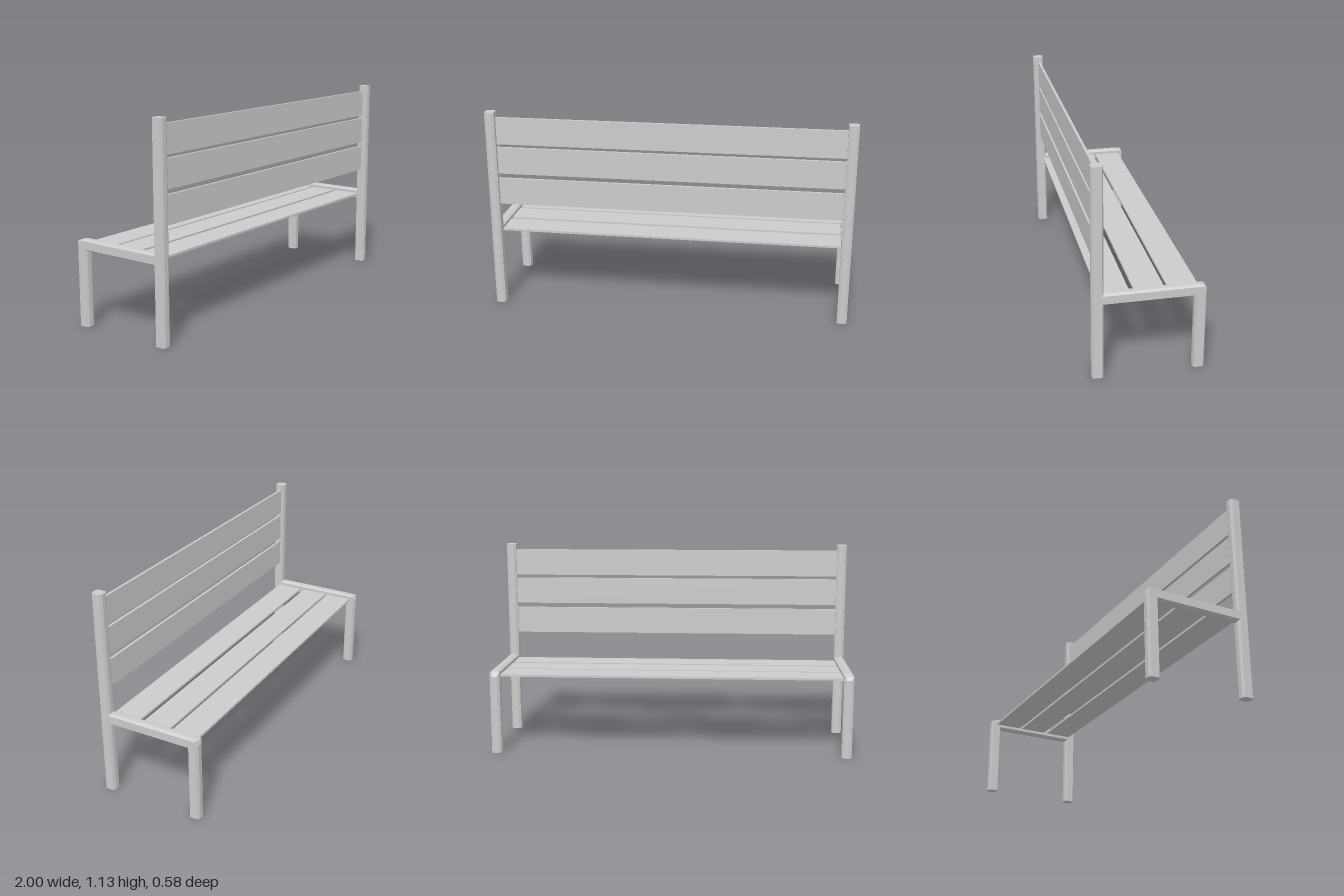
import * as THREE from 'three';

const material = new THREE.MeshStandardMaterial({ color: 0xcccccc, flatShading: true });

// Eight-sided bar section as [sideways x, outward n]
const SECTION = [
  [0.027, -0.0215], [0.027, 0.0215], [0.013, 0.03], [-0.013, 0.03],
  [-0.027, 0.0215], [-0.027, -0.0215], [-0.013, -0.03], [0.013, -0.03],
];
const POST_X = 0.973;
const BACK_Z = 0.26;   // centre of the backrest posts
const LEG_Z = -0.259;  // centre of the short legs
const SEAT_Y = 0.437;  // centre of the seat rails

// Skin a list of section rings and close both ends
function loft(rings) {
  const count = SECTION.length;
  const index = [];
  const last = (rings.length - 1) * count;
  for (let r = 0; r < rings.length - 1; r++) {
    for (let i = 0; i < count; i++) {
      const a = r * count + i, b = r * count + (i + 1) % count;
      index.push(a, b, b + count, a, b + count, a + count);
    }
  }
  for (let i = 1; i < count - 1; i++) {
    index.push(0, i + 1, i, last, last + i, last + i + 1);
  }
  const geometry = new THREE.BufferGeometry();
  geometry.setAttribute('position', new THREE.Float32BufferAttribute(rings.flat(2), 3));
  geometry.setIndex(index);
  const flat = geometry.toNonIndexed();
  flat.computeVertexNormals();
  return flat;
}

function addMesh(parent, name, geometry, x, y, z) {
  const mesh = new THREE.Mesh(geometry, material);
  mesh.name = name;
  mesh.position.set(x, y, z);
  parent.add(mesh);
}

// Upright post
function postGeometry(height) {
  return loft([0, height].map(y => SECTION.map(([x, n]) => [x, y, -n])));
}

// Short leg bending into the seat rail, with the outer ridge cut at the elbow
function legAndRailGeometry() {
  const ring = place => SECTION.map(([x, n]) => place(x, n));
  return loft([
    ring((x, n) => [x, 0, LEG_Z - n]),
    ring((x, n) => [x, SEAT_Y + Math.min(n, 0), LEG_Z - n]),
    ring((x, n) => {
      const m = Math.min(n, 0.0215);
      return [x, SEAT_Y + m, LEG_Z - m];
    }),
    ring((x, n) => [x, SEAT_Y + n, LEG_Z - Math.min(n, 0) + (n > 0 ? 0.009 : 0)]),
    ring((x, n) => [x, SEAT_Y + n, BACK_Z - 0.01]),
  ]);
}

export function createModel() {
  const bench = new THREE.Group();
  bench.name = 'bench';

  // End frames
  const post = postGeometry(1.128);
  const legAndRail = legAndRailGeometry();
  for (const [side, sign] of [['left', 1], ['right', -1]]) {
    const frame = new THREE.Group();
    frame.name = side + 'Frame';
    addMesh(frame, side + 'BackrestPost', post, sign * POST_X, 0, BACK_Z);
    addMesh(frame, side + 'LegAndSeatRail', legAndRail, sign * POST_X, 0, 0);
    bench.add(frame);
  }

  // Seat and backrest boards
  const seatBoard = new THREE.BoxGeometry(1.91, 0.012, 0.154);
  const backBoard = new THREE.BoxGeometry(1.91, 0.151, 0.014);
  [-0.18, -0.01, 0.168].forEach((z, i) =>
    addMesh(bench, 'seatBoard' + (i + 1), seatBoard, 0, SEAT_Y, z));
  [0.674, 0.851, 1.02].forEach((y, i) =>
    addMesh(bench, 'backrestBoard' + (i + 1), backBoard, 0, y, 0.255));

  return bench;
}
